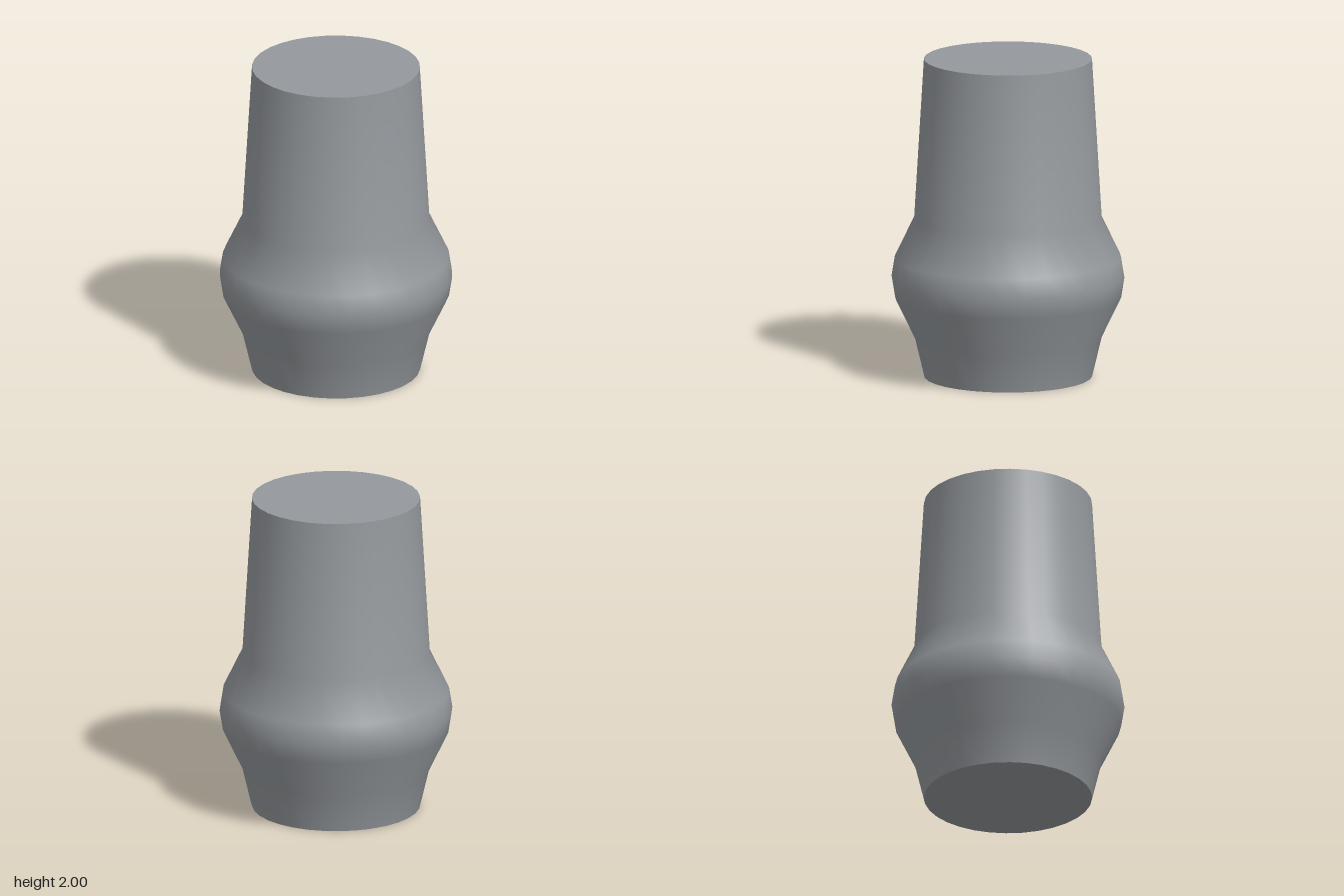
import * as THREE from 'three';

const SIDES = 32;

export function createModel() {
  const model = new THREE.Group();
  const grey = new THREE.MeshStandardMaterial({ color: 0x94989c });
  grey.name = 'grey';

  const add = (name, geometry) => {
    const mesh = new THREE.Mesh(geometry, grey);
    mesh.name = name;
    model.add(mesh);
    return mesh;
  };

  // Round body: flared foot, bulging belly, tapering neck (radius, height)
  const profile = [
    [0.52, 0], [0.58, 0.25], [0.7, 0.5], [0.72, 0.625],
    [0.7, 0.75], [0.58, 1], [0.52, 2],
  ].map(([r, y]) => new THREE.Vector2(r, y));
  add('body', new THREE.LatheGeometry(profile, SIDES));

  // Flat discs closing both ends
  const topCap = add('topCap', new THREE.CircleGeometry(0.52, SIDES));
  topCap.rotation.x = -Math.PI / 2;
  topCap.position.y = 2;
  const bottomCap = add('bottomCap', new THREE.CircleGeometry(0.52, SIDES));
  bottomCap.rotation.x = Math.PI / 2;

  return model;
}
